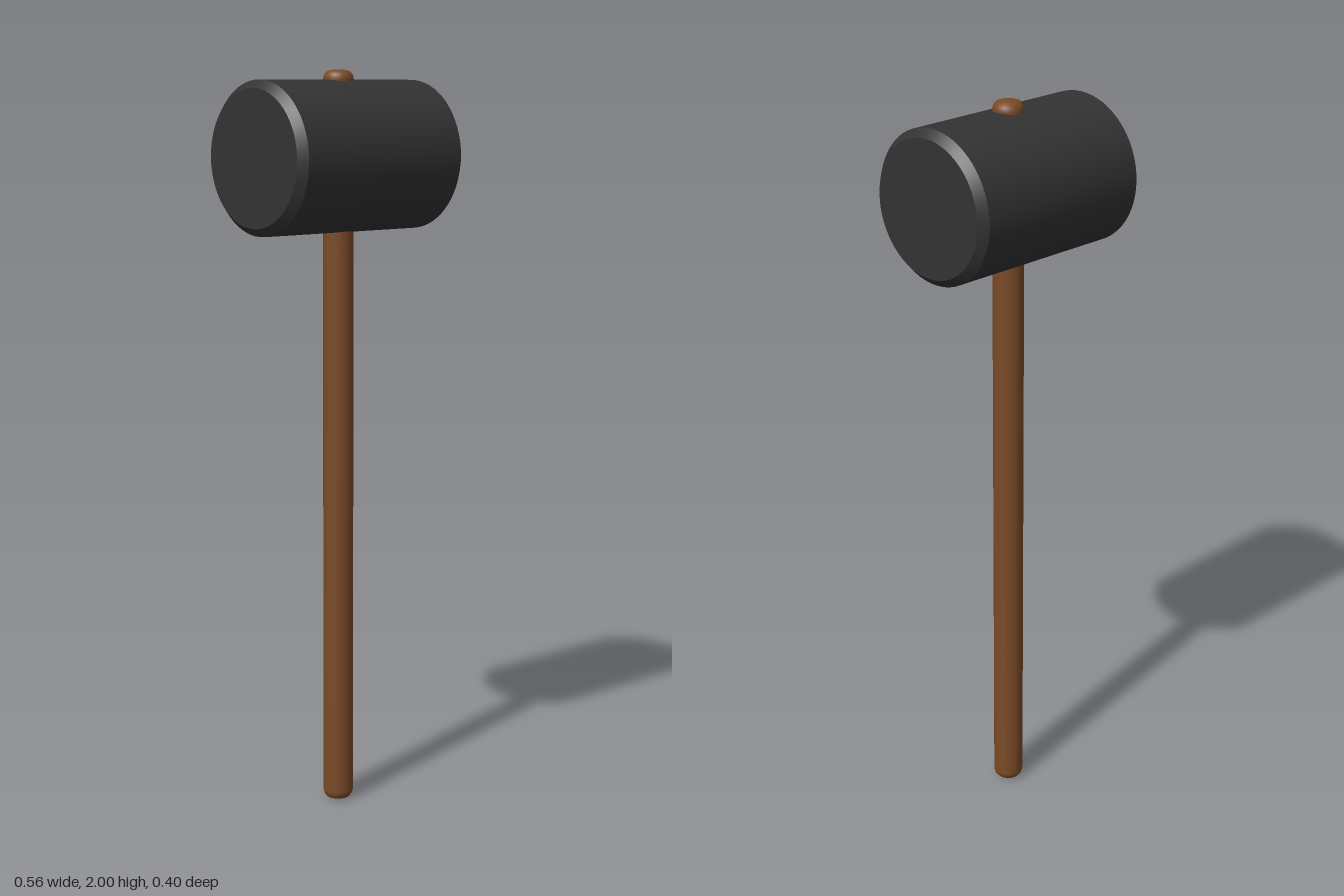
import * as THREE from 'three';
import { toCreasedNormals } from 'three/addons/utils/BufferGeometryUtils.js';

// Revolve [radius, height] pairs around y, bottom to top
function lathe(points, segments) {
  return new THREE.LatheGeometry(points.map(([r, y]) => new THREE.Vector2(r, y)), segments);
}

export function createModel() {
  const group = new THREE.Group();
  group.name = 'mallet';
  const headMaterial = new THREE.MeshStandardMaterial({ color: 0x333333 });
  const woodMaterial = new THREE.MeshStandardMaterial({ color: 0x7a4a26 });

  // Barrel-shaped head lying along x, with chamfered rims
  const half = 0.281, radius = 0.199, bevel = 0.021;
  const headGeometry = lathe([
    [0, -half], [radius - bevel, -half], [radius, -half + bevel],
    [radius, half - bevel], [radius - bevel, half], [0, half],
  ], 64);
  headGeometry.rotateZ(-Math.PI / 2);
  const head = new THREE.Mesh(toCreasedNormals(headGeometry, 0.5), headMaterial);
  head.name = 'head';
  head.position.y = 1.775;
  group.add(head);

  // Long round handle through the head, both ends softly rounded
  const r = 0.041, length = 2;
  const end = [[0, 0], [0.02, 0.001], [0.031, 0.005], [0.038, 0.013], [r, 0.025]];
  const top = end.map(([x, y]) => [x, length - y]).reverse();
  const handle = new THREE.Mesh(lathe([...end, ...top], 32), woodMaterial);
  handle.name = 'handle';
  handle.position.x = 0.004;
  group.add(handle);

  return group;
}
